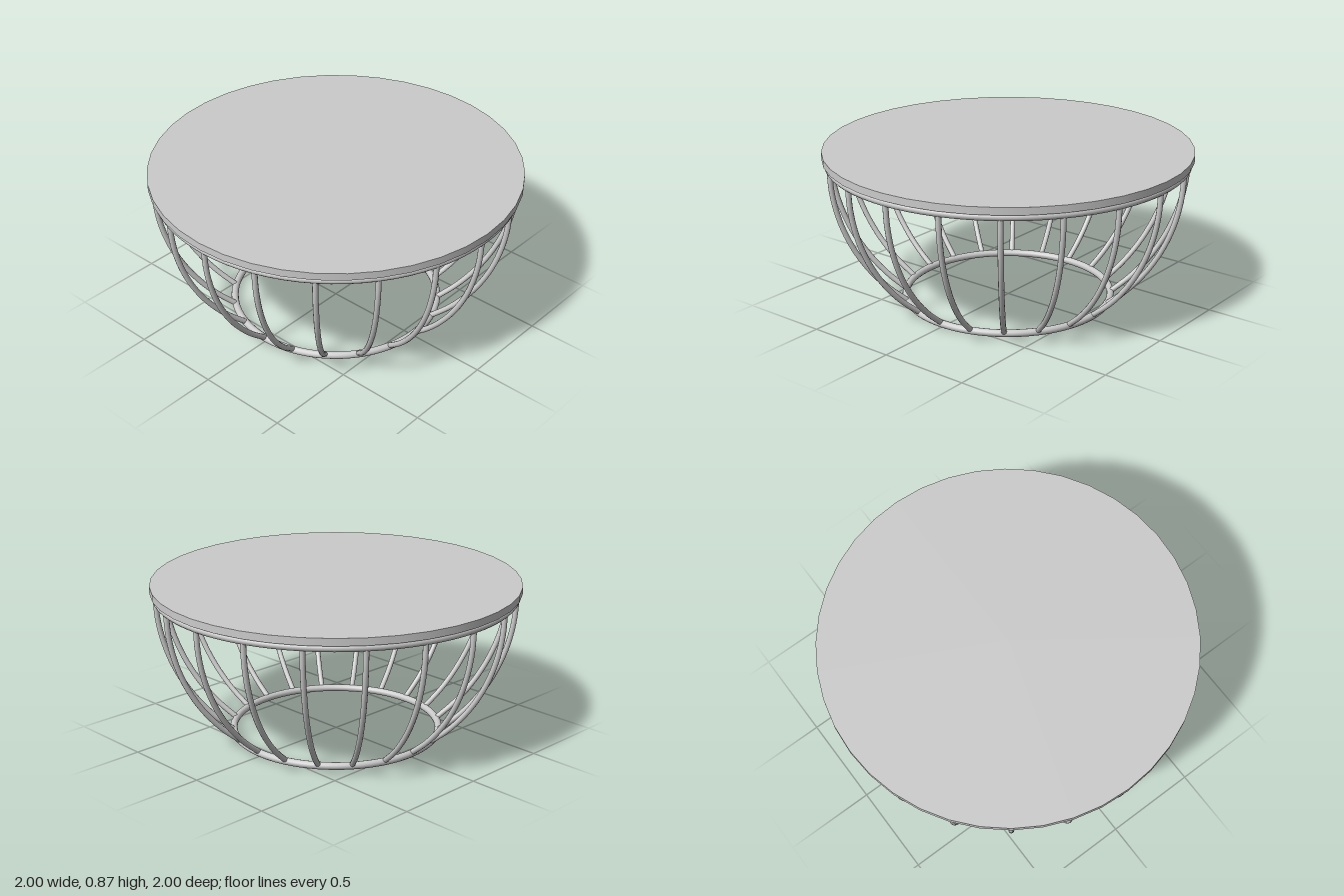
import * as THREE from 'three';

export function createModel() {
  const group = new THREE.Group();
  const material = new THREE.MeshStandardMaterial({ color: 0xcccccc });
  const add = (name, geometry, y = 0) => {
    const mesh = new THREE.Mesh(geometry, material);
    mesh.name = name;
    mesh.position.y = y;
    group.add(mesh);
    return mesh;
  };

  const rimY = 0.81, bowlRadius = 0.97, footY = 0.02, footRadius = 0.57;

  // Thin round top
  add('tableTop', new THREE.CylinderGeometry(1, 1, 0.04, 40), 0.848);

  // Wire rings at the rim and on the floor
  const ring = (name, radius, y) =>
    add(name, new THREE.TorusGeometry(radius, 0.02, 12, 80).rotateX(Math.PI / 2), y);
  ring('topRing', bowlRadius, rimY);
  ring('baseRing', footRadius, footY);

  // Curved ribs follow a spherical bowl from the rim to the base ring
  const endAngle = Math.acos(0.58 / bowlRadius);
  const points = [];
  for (let i = 0; i <= 8; i++) {
    const a = (endAngle * i) / 8;
    points.push(new THREE.Vector3(0, rimY - bowlRadius * Math.sin(a), bowlRadius * Math.cos(a)));
  }
  const ribGeometry = new THREE.TubeGeometry(new THREE.CatmullRomCurve3(points), 24, 0.015, 10);
  // Closed lower ends of the ribs
  const capGeometry = new THREE.SphereGeometry(0.015, 10, 6);
  const ribCount = 20;
  for (let i = 0; i < ribCount; i++) {
    const rib = add('rib', ribGeometry);
    rib.rotation.y = (i / ribCount) * Math.PI * 2;
    const cap = new THREE.Mesh(capGeometry, material);
    cap.name = 'ribEnd';
    cap.position.copy(points[8]);
    rib.add(cap);
  }
  return group;
}
